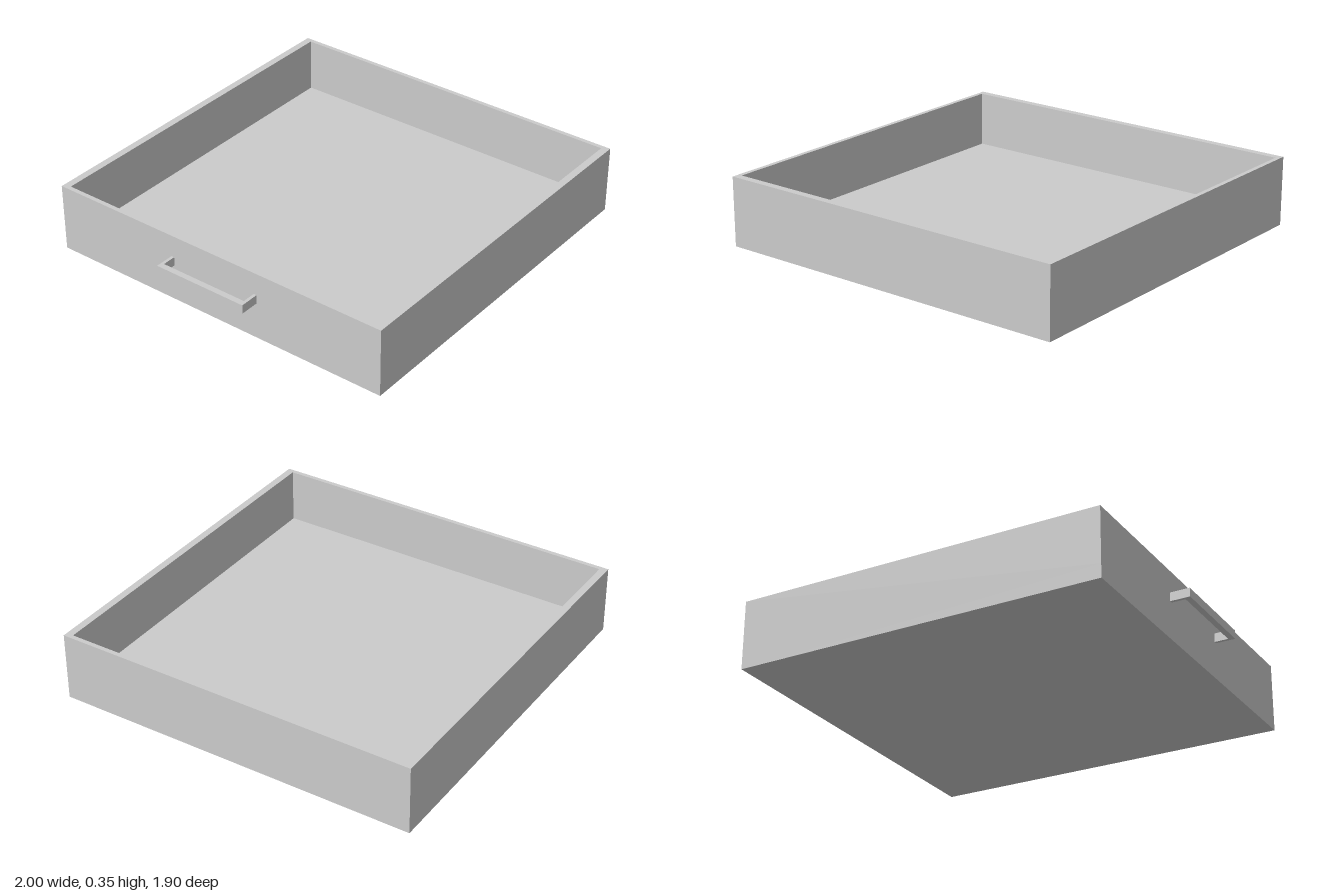
import * as THREE from 'three';

const material = new THREE.MeshStandardMaterial({ color: 0xcccccc, flatShading: true });

function box(name, [w, h, d], [x, y, z]) {
  const mesh = new THREE.Mesh(new THREE.BoxGeometry(w, h, d), material);
  mesh.name = name;
  mesh.position.set(x, y, z);
  return mesh;
}

export function createModel() {
  const model = new THREE.Group();
  model.name = 'drawer';

  const centreX = 0.05, size = 1.9, height = 0.355, floorTop = 0.07;
  const sideWall = 0.023, endWall = 0.038;

  // Floor panel
  model.add(box('floor', [size, floorTop, size], [centreX, floorTop / 2, 0]));

  // Rim of four walls standing on the floor
  const rectangle = (target, w, d) => target
    .moveTo(-w / 2, -d / 2).lineTo(w / 2, -d / 2)
    .lineTo(w / 2, d / 2).lineTo(-w / 2, d / 2).closePath();
  const outline = rectangle(new THREE.Shape(), size, size);
  outline.holes.push(rectangle(new THREE.Path(), size - 2 * sideWall, size - 2 * endWall));
  const wallGeometry = new THREE.ExtrudeGeometry(outline, {
    depth: height - floorTop, bevelEnabled: false,
  });
  wallGeometry.rotateX(-Math.PI / 2);
  const walls = new THREE.Mesh(wallGeometry, material);
  walls.name = 'walls';
  walls.position.set(centreX, floorTop, 0);
  model.add(walls);

  // Pull handle: a bar carried by two thin posts
  const handle = new THREE.Group();
  handle.name = 'handle';
  const handleY = 0.217, handleHeight = 0.045;
  handle.add(box('handleBar', [0.03, handleHeight, 0.51], [-0.985, handleY, 0]));
  for (const side of [-1, 1]) {
    handle.add(box('handlePost', [0.07, handleHeight, 0.016], [-0.935, handleY, side * 0.247]));
  }
  model.add(handle);

  return model;
}
